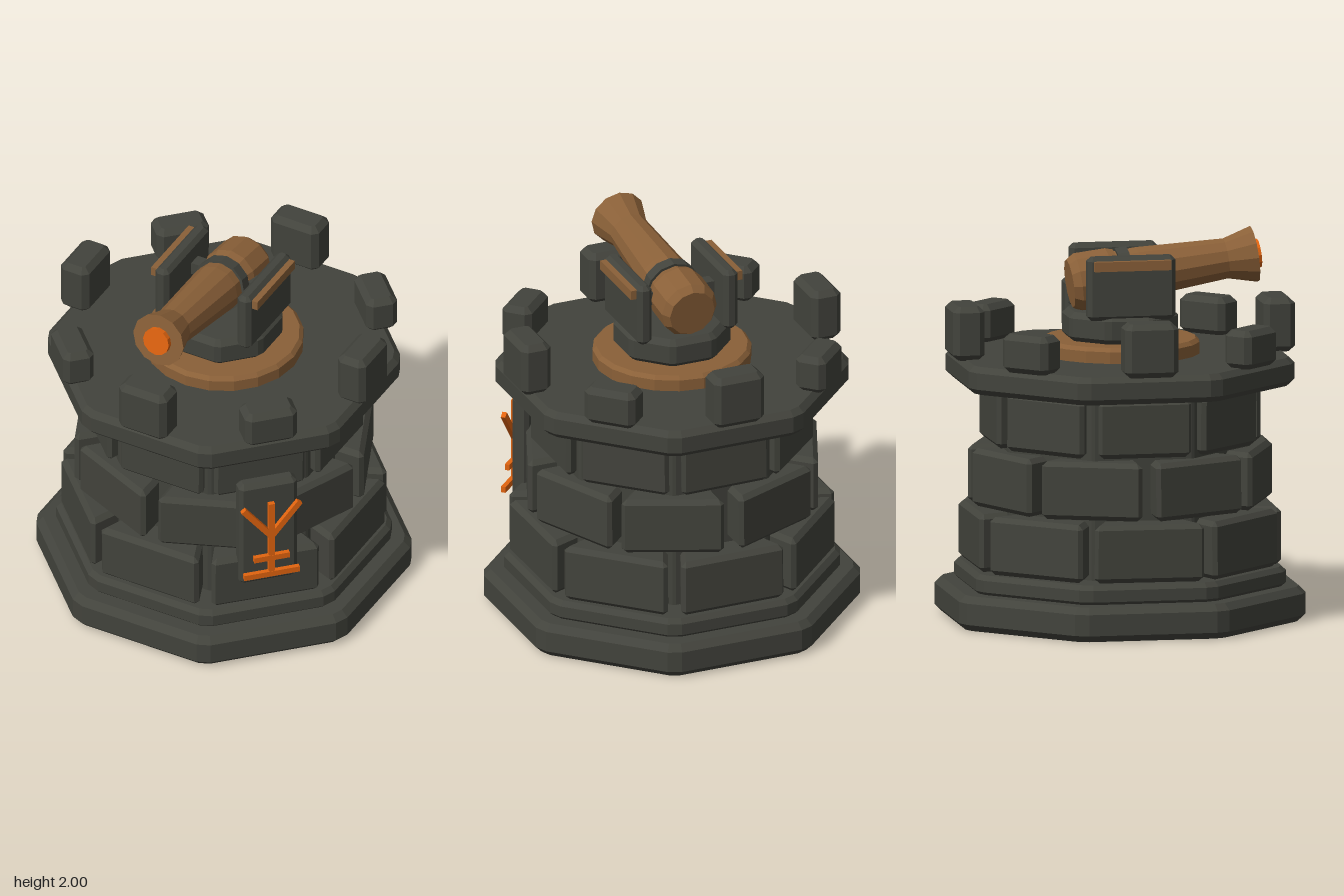
import * as THREE from 'three';

const material = (name, color) => Object.assign(new THREE.MeshStandardMaterial({ color }), { name });
const stone = material('dark stone', 0x42433c);
const bronze = material('bronze', 0x8a6038);
const glow = material('orange glow', 0xe2640f);

// Upright prism from plan points [x, z]: corners cut, top and bottom edges bevelled
function prism(points, y0, y1, bevel, cut = bevel) {
  const plan = [];
  points.forEach((p, i) => {
    const here = new THREE.Vector2(p[0], -p[1]);
    for (const step of [-1, 1]) {
      const q = points[(i + step + points.length) % points.length];
      const dir = new THREE.Vector2(q[0], -q[1]).sub(here).normalize();
      plan.push(here.clone().addScaledVector(dir, cut));
    }
  });
  const geo = new THREE.ExtrudeGeometry(new THREE.Shape(plan), {
    depth: y1 - y0 - 2 * bevel, bevelEnabled: true, bevelSegments: 1,
    bevelSize: bevel, bevelThickness: bevel, bevelOffset: -bevel,
  });
  return geo.rotateX(-Math.PI / 2).translate(0, y0 + bevel, 0);
}

const rect = (w, d, x = 0, z = 0) =>
  [[x - w / 2, z - d / 2], [x + w / 2, z - d / 2], [x + w / 2, z + d / 2], [x - w / 2, z + d / 2]];

// Regular octagon with flat sides facing the axes
function octagon(apothem) {
  const r = apothem / Math.cos(Math.PI / 8);
  return Array.from({ length: 8 }, (_, i) => {
    const a = (i + 0.5) * Math.PI / 4;
    return [r * Math.cos(a), r * Math.sin(a)];
  });
}

// Faceted solid of revolution about y, profile listed from bottom to top
function turned(profile, sides) {
  const pts = profile.map(([r, y]) => new THREE.Vector2(r, y));
  const geo = new THREE.LatheGeometry(pts, sides).toNonIndexed();
  geo.computeVertexNormals();
  return geo;
}

// Small seeded generator for uneven masonry
let seed = 7;
const jitter = (amount) => {
  seed = (seed * 16807) % 2147483647;
  return (seed / 2147483647 - 0.5) * 2 * amount;
};

export function createModel() {
  const model = new THREE.Group();
  model.name = 'cannonTower';
  const add = (name, geo, mat, parent = model) => {
    const mesh = new THREE.Mesh(geo, mat);
    mesh.name = name;
    parent.add(mesh);
    return mesh;
  };

  // Plinth, core and overhanging platform
  add('plinth', prism(octagon(0.905), 0, 0.18, 0.035, 0.04), stone);
  add('plinthStep', prism(octagon(0.81), 0.17, 0.28, 0.025, 0.04), stone);
  add('core', prism(octagon(0.63), 0.26, 1.25, 0.01), stone);
  add('platform', prism(octagon(0.85), 1.22, 1.365, 0.03, 0.04), stone);

  // Three courses of eight bricks, the middle course staggered
  const courses = [
    { y: 0.285, h: 0.3, apothem: 0.79, half: 0.295, turn: 0 },
    { y: 0.6, h: 0.3, apothem: 0.745, half: 0.272, turn: 0.5 },
    { y: 0.915, h: 0.3, apothem: 0.69, half: 0.25, turn: 0 },
  ];
  courses.forEach(({ y, h, apothem, half, turn }, row) => {
    const course = new THREE.Group();
    course.name = `brickCourse${row + 1}`;
    model.add(course);
    const inner = half - 0.08;
    const plan = [[-inner, apothem - 0.2], [inner, apothem - 0.2], [half, apothem], [-half, apothem]];
    for (let i = 0; i < 8; i++) {
      const brick = add('brick', prism(plan, -h / 2, h / 2, 0.025), stone, course);
      brick.position.y = y + h / 2;
      brick.rotation.set(0, (i + turn) * Math.PI / 4 + jitter(0.012), jitter(0.012), 'YXZ');
    }
  });

  // Battlements: taller on the axes, shorter on the diagonals
  for (let i = 0; i < 8; i++) {
    const top = i % 2 ? 1.56 : 1.64;
    const merlon = add('merlon', prism(rect(0.28, 0.165, 0, 0.81), 1.36, top, 0.03), stone);
    merlon.rotation.y = i * Math.PI / 4;
  }

  // Wall plaque with a raised sign
  const plaque = new THREE.Group();
  plaque.name = 'plaque';
  plaque.rotation.y = Math.PI / 4;
  model.add(plaque);
  add('plaqueSlab', prism(rect(0.31, 0.09, 0, 0.78), 0.43, 1.065, 0.025, 0.02), stone, plaque);
  const stroke = (name, x0, y0, x1, y1, z) => {
    const bar = add(name, new THREE.BoxGeometry(Math.hypot(x1 - x0, y1 - y0), 0.032, 0.025), glow, plaque);
    bar.position.set((x0 + x1) / 2, (y0 + y1) / 2, z);
    bar.rotation.z = Math.atan2(y1 - y0, x1 - x0);
  };
  stroke('signStem', 0, 0.52, 0, 0.97, 0.87);
  stroke('signFoot', -0.148, 0.522, 0.148, 0.522, 0.872);
  stroke('signCrossbar', -0.095, 0.625, 0.095, 0.625, 0.872);
  for (const s of [-1, 1]) stroke('signArm', 0, 0.76, s * 0.15, 0.95, 0.868);

  // Turntable and gun carriage
  add('turntable', turned([[0, 1.36], [0.41, 1.36], [0.41, 1.425], [0.39, 1.445], [0, 1.445]], 20), bronze);
  add('pedestal', prism(octagon(0.285), 1.44, 1.595, 0.03, 0.02), stone);
  for (const s of [-1, 1]) {
    add('cheek', prism(rect(0.08, 0.46, s * 0.24, 0.01), 1.57, 1.9, 0.022), stone);
    add('cheekRail', new THREE.BoxGeometry(0.035, 0.05, 0.4).translate(s * 0.293, 1.855, 0.01), bronze);
  }
  add('axle', new THREE.BoxGeometry(0.42, 0.07, 0.07).translate(0, 1.76, -0.05), stone);

  // Cannon, built along y and tipped forward with a slight upward aim
  const cannon = new THREE.Group();
  cannon.name = 'cannon';
  cannon.position.set(0, 1.762, 0);
  cannon.rotation.x = Math.PI / 2 - 0.131;
  model.add(cannon);
  add('breech', turned([[0, -0.265], [0.125, -0.265], [0.153, -0.225], [0.153, -0.06],
    [0.14, -0.02], [0, -0.02]], 12), bronze, cannon);
  add('barrel', turned([[0.13, -0.03], [0.133, 0.1], [0.105, 0.555], [0.147, 0.705], [0, 0.705]], 12), bronze, cannon);
  add('barrelBand', turned([[0.12, -0.01], [0.146, -0.01], [0.146, 0.05], [0.12, 0.05]], 12), stone, cannon);
  add('muzzleCore', turned([[0, 0.69], [0.075, 0.69], [0.075, 0.732], [0, 0.732]], 12), glow, cannon);

  return model;
}
